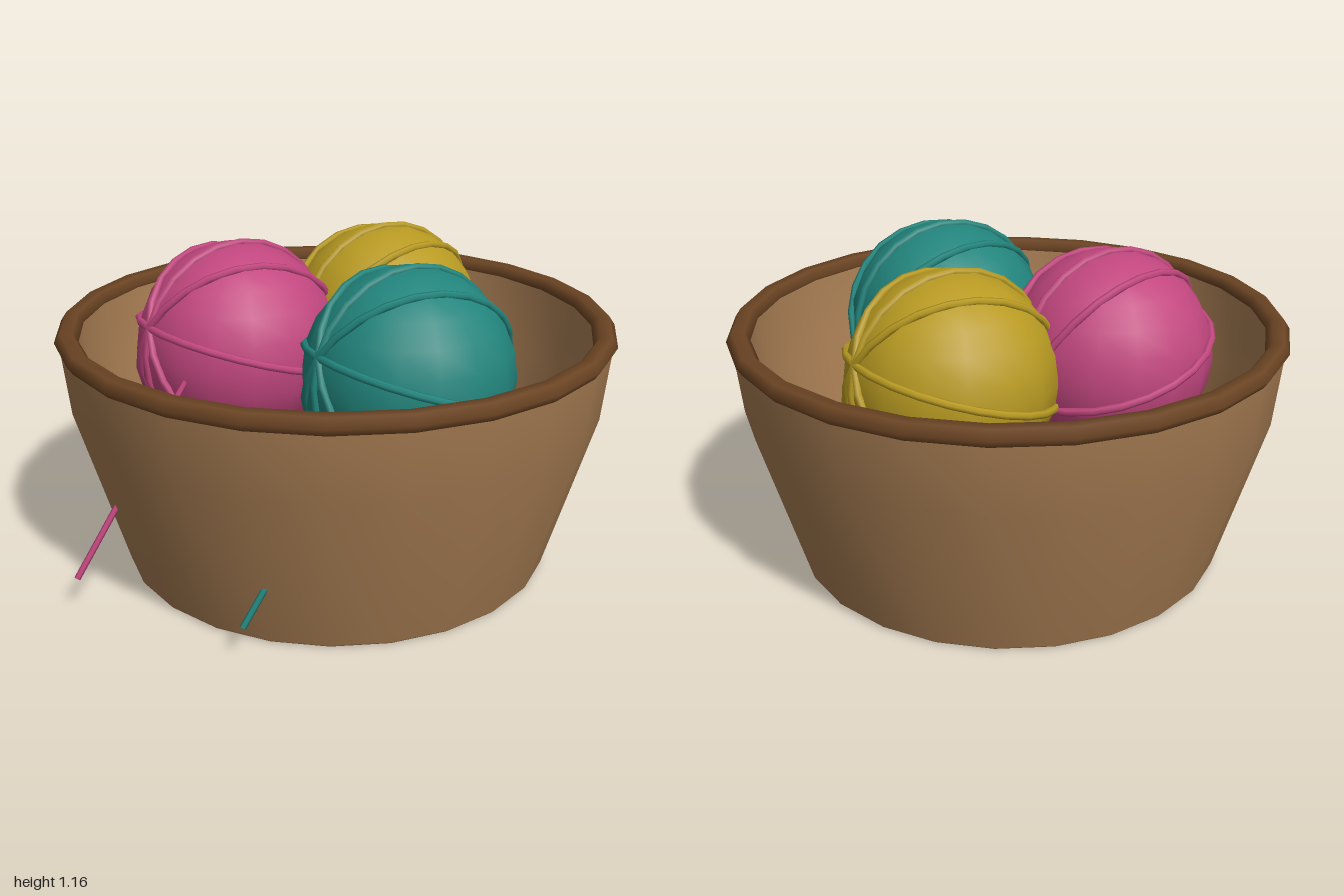
import * as THREE from 'three';

const SIDES = 24;

function material(name, color) {
  const m = new THREE.MeshStandardMaterial({ color });
  m.name = name;
  return m;
}

function addMesh(parent, name, geometry, mat) {
  const mesh = new THREE.Mesh(geometry, mat);
  mesh.name = name;
  parent.add(mesh);
  return mesh;
}

// Surface of revolution; separate strips keep the edges between them sharp
function lathe(points) {
  return new THREE.LatheGeometry(points.map(([r, y]) => new THREE.Vector2(r, y)), SIDES);
}

// Yarn ball: core, wound strands sharing one axis, and a loose straight tail
function yarnBall(name, mat, centre, axis, tailEnd) {
  const ball = new THREE.Group();
  ball.name = name;
  ball.position.set(...centre);
  addMesh(ball, 'ballCore', new THREE.SphereGeometry(0.37, 16, 12), mat);

  const along = new THREE.Vector3(...axis).normalize();
  const side = new THREE.Vector3().crossVectors(along, new THREE.Vector3(0, 1, 0)).normalize();
  const up = new THREE.Vector3().crossVectors(side, along);
  for (const degrees of [-30, 0, 30, 90]) {
    const a = THREE.MathUtils.degToRad(degrees);
    const across = up.clone().multiplyScalar(Math.cos(a)).addScaledVector(side, Math.sin(a));
    const normal = new THREE.Vector3().crossVectors(along, across);
    const strand = addMesh(ball, 'woundStrand', new THREE.TorusGeometry(0.371, 0.014, 6, 24), mat);
    strand.quaternion.setFromRotationMatrix(new THREE.Matrix4().makeBasis(along, across, normal));
  }

  const end = new THREE.Vector3(...tailEnd);
  const start = new THREE.Vector3(0.05, 0.05, 0.29);
  const tail = addMesh(ball, 'looseTail',
    new THREE.CylinderGeometry(0.011, 0.011, start.distanceTo(end), 6), mat);
  tail.position.copy(start).add(end).multiplyScalar(0.5);
  tail.quaternion.setFromUnitVectors(new THREE.Vector3(0, 1, 0), start.clone().sub(end).normalize());
  return ball;
}

export function createModel() {
  const model = new THREE.Group();
  model.name = 'yarnBowl';
  const wood = material('tan wood', 0xa67c52);
  const darkWood = material('dark wood', 0x6b4423);
  const pink = material('pink yarn', 0xc2477f);
  const yellow = material('yellow yarn', 0xb89a22);
  const teal = material('teal yarn', 0x22857d);

  // Bowl
  const bowl = new THREE.Group();
  bowl.name = 'bowl';
  model.add(bowl);
  addMesh(bowl, 'bowlBase', lathe([[0, 0], [0.775, 0]]), wood);
  addMesh(bowl, 'bowlOuterWall', lathe([[0.775, 0], [0.785, 0.01], [0.957, 0.6], [0.985, 0.87]]), wood);
  addMesh(bowl, 'bowlInnerWall', lathe([[0.925, 0.87], [0.89, 0.6], [0.74, 0.06]]), wood);
  addMesh(bowl, 'bowlFloor', lathe([[0.74, 0.06], [0, 0.06]]), wood);

  // Rim
  const rim = addMesh(bowl, 'bowlRim', new THREE.TorusGeometry(0.958, 0.042, 6, SIDES), darkWood);
  rim.rotation.x = Math.PI / 2;
  rim.scale.z = 0.86;
  rim.position.y = 0.868;

  // Yarn
  model.add(
    yarnBall('pinkYarnBall', pink, [-0.33, 0.78, 0.15], [-0.155, 0.12, 0.335], [-0.14, -0.655, 0.78]),
    yarnBall('tealYarnBall', teal, [0.36, 0.78, 0.115], [-0.175, 0.12, 0.32], [-0.165, -0.655, 0.775]),
    yarnBall('yellowYarnBall', yellow, [0, 0.78, -0.355], [0.17, 0.12, -0.34], [-0.15, -0.655, 0.775]),
  );
  return model;
}
